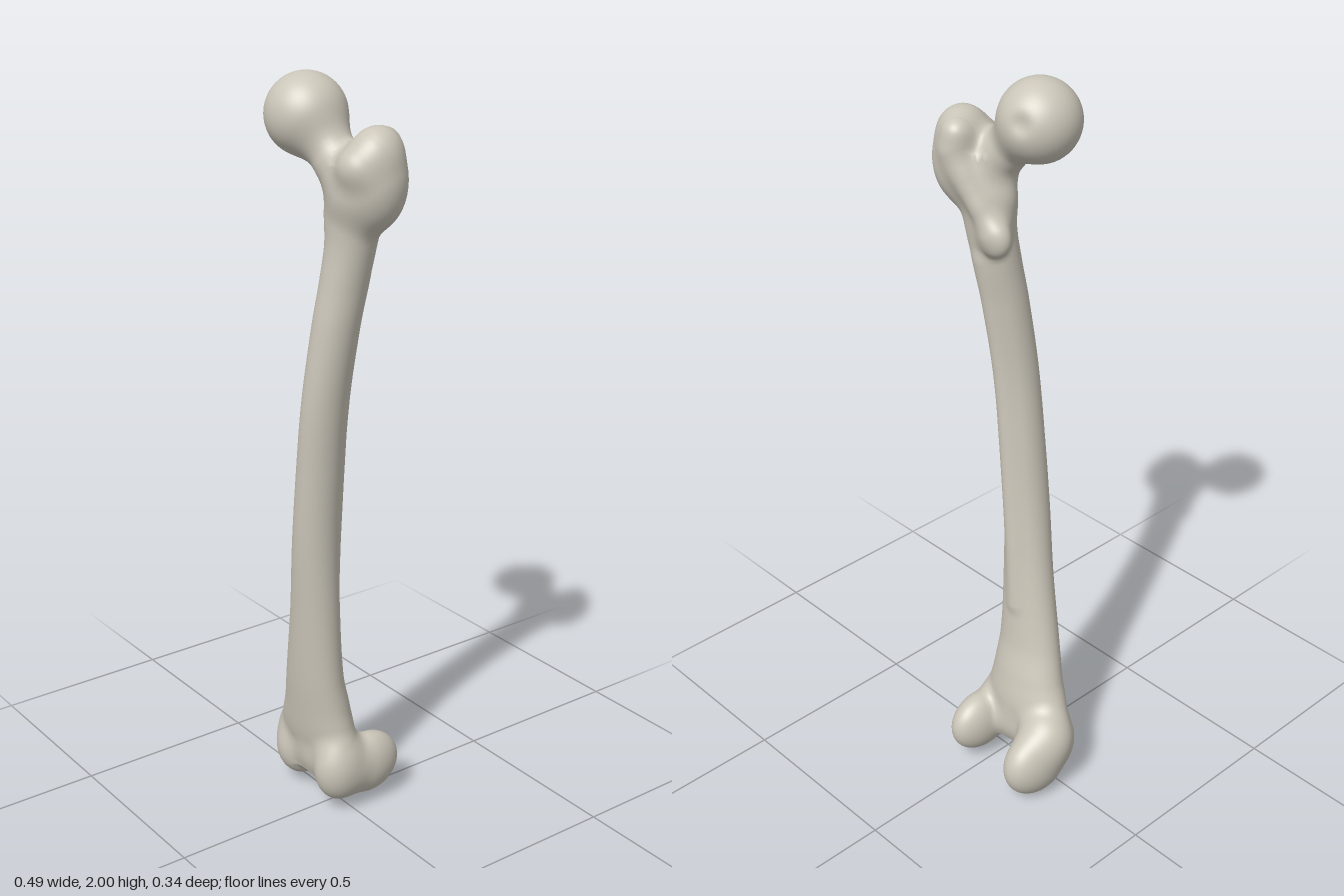
import * as THREE from 'three';

const V = (x, y, z) => new THREE.Vector3(x, y, z);
const BLEND = 0.034; // width of the fillets where parts meet

// ---- Distance rules and starting meshes -------------------------------------

// Ellipsoid: centre and radii
function ellipsoid(name, [cx, cy, cz], [rx, ry, rz]) {
  const dist = (p) => {
    const x = (p.x - cx) / rx, y = (p.y - cy) / ry, z = (p.z - cz) / rz;
    const k0 = Math.hypot(x, y, z), k1 = Math.hypot(x / rx, y / ry, z / rz);
    return k1 < 1e-6 ? -Math.min(rx, ry, rz) : (k0 * (k0 - 1)) / k1;
  };
  const geometry = new THREE.SphereGeometry(1, 52, 36).scale(rx, ry, rz).translate(cx, cy, cz);
  return { name, dist, geometry };
}

// Round-ended tube through points [x, y, z, radius]
function tube(name, points) {
  const curve = new THREE.CatmullRomCurve3(points.map((p) => V(p[0], p[1], p[2])));
  const radius = (t) => {
    const s = t * (points.length - 1), i = Math.min(Math.floor(s), points.length - 2);
    return THREE.MathUtils.lerp(points[i][3], points[i + 1][3], s - i);
  };
  const N = 10, line = curve.getPoints(N);
  const dist = (p) => {
    let best = 1e9;
    for (let i = 0; i < N; i++) {
      const a = line[i], b = line[i + 1];
      const dx = b.x - a.x, dy = b.y - a.y, dz = b.z - a.z;
      const ex = p.x - a.x, ey = p.y - a.y, ez = p.z - a.z;
      const h = Math.min(1, Math.max(0, (ex * dx + ey * dy + ez * dz) / (dx * dx + dy * dy + dz * dz)));
      best = Math.min(best, Math.hypot(ex - dx * h, ey - dy * h, ez - dz * h) - radius((i + h) / N));
    }
    return best;
  };
  // Stretch a sphere along the curve
  const geometry = new THREE.SphereGeometry(1, 32, 60);
  const pos = geometry.attributes.position, v = V();
  for (let i = 0; i < pos.count; i++) {
    v.fromBufferAttribute(pos, i);
    const t = THREE.MathUtils.clamp((v.y + 1) / 2, 0, 1), r = radius(t);
    const T = curve.getTangent(t), A = T.clone().cross(V(0, 0, 1)).normalize(), B = A.clone().cross(T);
    const q = curve.getPoint(t).addScaledVector(A, v.x * r).addScaledVector(T, v.y * r).addScaledVector(B, v.z * r);
    pos.setXYZ(i, q.x, q.y, q.z);
  }
  return { name, dist, geometry };
}

// Upright loft of ellipses, rows of [y, xMin, xMax, zMin, zMax]
function loft(name, rows) {
  const slope = (i, c) => {
    const a = rows[Math.max(i - 1, 0)], b = rows[Math.min(i + 1, rows.length - 1)];
    return (b[c] - a[c]) / (b[0] - a[0]);
  };
  const section = (y) => {
    let i = 0;
    while (i < rows.length - 2 && y > rows[i + 1][0]) i++;
    const a = rows[i], b = rows[i + 1], h = b[0] - a[0];
    const t = THREE.MathUtils.clamp((y - a[0]) / h, 0, 1), t2 = t * t, t3 = t2 * t;
    const [x0, x1, z0, z1] = [1, 2, 3, 4].map((c) =>
      (2 * t3 - 3 * t2 + 1) * a[c] + (t3 - 2 * t2 + t) * h * slope(i, c) +
      (3 * t2 - 2 * t3) * b[c] + (t3 - t2) * h * slope(i + 1, c));
    return [(x0 + x1) / 2, (z0 + z1) / 2, (x1 - x0) / 2, (z1 - z0) / 2];
  };
  const low = rows[0][0], high = rows[rows.length - 1][0];
  const dist = (p) => {
    const [cx, cz, rx, rz] = section(p.y);
    const x = (p.x - cx) / rx, z = (p.z - cz) / rz;
    const k0 = Math.hypot(x, z), k1 = Math.hypot(x / rx, z / rz);
    const side = k1 < 1e-6 ? -Math.min(rx, rz) : (k0 * (k0 - 1)) / k1;
    return Math.max(side, low - p.y, p.y - high);
  };
  const geometry = new THREE.CylinderGeometry(1, 1, high - low, 56, 130).translate(0, (low + high) / 2, 0);
  const pos = geometry.attributes.position;
  for (let i = 0; i < pos.count; i++) {
    const [cx, cz, rx, rz] = section(pos.getY(i));
    pos.setXYZ(i, cx + pos.getX(i) * rx, pos.getY(i), cz + pos.getZ(i) * rz);
  }
  return { name, dist, geometry };
}

// ---- Fillet rule: slide vertices onto the smooth union of all parts ----------

function gradient(f, p) {
  const e = 0.0008, q = V(), at = (x, y, z) => f(q.set(p.x + x, p.y + y, p.z + z));
  return V(at(e, 0, 0) - at(-e, 0, 0), at(0, e, 0) - at(0, -e, 0), at(0, 0, e) - at(0, 0, -e)).divideScalar(2 * e);
}

function settle(f, p, steps) {
  for (let i = 0; i < steps; i++) {
    const d = f(p);
    if (Math.abs(d) < 0.0002) return;
    const g = gradient(f, p);
    p.addScaledVector(g, -d / Math.max(g.lengthSq(), 0.4));
  }
}

function fillet(part, union) {
  const { position: pos, normal } = part.geometry.attributes, p = V();
  for (let i = 0; i < pos.count; i++) {
    p.fromBufferAttribute(pos, i);
    settle(part.dist, p, 3);
    if (union(p) > -BLEND * 0.5) settle(union, p, 4); // deeper vertices stay hidden inside
    const n = gradient(union, p).normalize();
    pos.setXYZ(i, p.x, p.y, p.z);
    normal.setXYZ(i, n.x, n.y, n.z);
  }
}

export function createModel() {
  const bone = new THREE.MeshStandardMaterial({ color: 0xcbc6b9 });
  bone.name = 'bone';

  // Ball head with a small pit on its inner back side
  const head = ellipsoid('head', [-0.036, 1.898, 0.066], [0.102, 0.102, 0.102]);
  const ball = head.dist, pit = V(-0.067, 1.918, -0.029);
  head.dist = (p) => ball(p) + 0.012 * Math.exp(-p.distanceToSquared(pit) / 0.0005);

  const groups = {
    upperEnd: [
      head,
      tube('neck', [[-0.03, 1.89, 0.06, 0.06], [0.045, 1.82, 0.05, 0.059], [0.12, 1.73, 0.03, 0.066]]),
      ellipsoid('greaterTrochanter', [0.163, 1.765, 0.01], [0.078, 0.12, 0.078]),
      tube('trochanterRidge', [[0.137, 1.845, -0.038, 0.036], [0.175, 1.835, 0.015, 0.048], [0.163, 1.8, 0.062, 0.046]]),
      tube('trochanterCrest', [[0.14, 1.8, -0.045, 0.03], [0.085, 1.7, -0.035, 0.024], [0.04, 1.62, -0.015, 0.024]]),
      ellipsoid('lesserTrochanter', [0.03, 1.598, -0.012], [0.043, 0.047, 0.032]),
    ],
    middle: [
      loft('shaft', [
        [0.1, -0.15, 0.05, -0.03, 0.06],
        [0.2, -0.195, 0.075, -0.055, 0.09],
        [0.3, -0.16, 0.065, -0.04, 0.104],
        [0.4, -0.13, 0.06, -0.016, 0.114],
        [0.6, -0.085, 0.063, 0.004, 0.126],
        [0.8, -0.052, 0.07, 0.016, 0.138],
        [1.0, -0.025, 0.085, 0.021, 0.141],
        [1.2, 0.0, 0.105, 0.021, 0.139],
        [1.4, 0.017, 0.13, 0.0, 0.12],
        [1.5, 0.024, 0.143, -0.018, 0.105],
        [1.6, 0.027, 0.163, -0.03, 0.092],
        [1.7, 0.02, 0.19, -0.035, 0.09],
        [1.78, 0.06, 0.2, -0.02, 0.08],
      ]),
      // Rough line down the back of the shaft
      tube('backRidge', [
        [0.085, 1.52, 0.0, 0.014], [0.065, 1.3, 0.022, 0.014], [0.045, 1.1, 0.031, 0.014],
        [0.025, 0.9, 0.029, 0.014], [0.0, 0.7, 0.02, 0.013], [-0.02, 0.52, 0.012, 0.01],
      ]),
    ],
    lowerEnd: [
      ellipsoid('innerCondyle', [-0.175, 0.1, -0.065], [0.066, 0.097, 0.103]),
      ellipsoid('innerEpicondyle', [-0.172, 0.155, -0.02], [0.075, 0.08, 0.075]),
      ellipsoid('innerCondyleFront', [-0.14, 0.115, 0.02], [0.07, 0.085, 0.07]),
      ellipsoid('outerCondyle', [0.045, 0.115, -0.065], [0.057, 0.088, 0.1]),
      ellipsoid('outerCondyleFront', [0.043, 0.13, 0.025], [0.062, 0.095, 0.072]),
      ellipsoid('kneeGroove', [-0.045, 0.135, 0.01], [0.07, 0.072, 0.066]),
    ],
  };

  // Smooth union of every part
  const parts = Object.values(groups).flat();
  const union = (p) => {
    let d = 1e9;
    for (const part of parts) {
      const e = part.dist(p), h = Math.max(BLEND - Math.abs(d - e), 0) / BLEND;
      d = Math.min(d, e) - h * h * BLEND * 0.25;
    }
    return d;
  };

  const model = new THREE.Group();
  model.name = 'thighBone';
  for (const [name, list] of Object.entries(groups)) {
    const group = new THREE.Group();
    group.name = name;
    for (const part of list) {
      fillet(part, union);
      const mesh = new THREE.Mesh(part.geometry, bone);
      mesh.name = part.name;
      group.add(mesh);
    }
    model.add(group);
  }
  return model;
}
